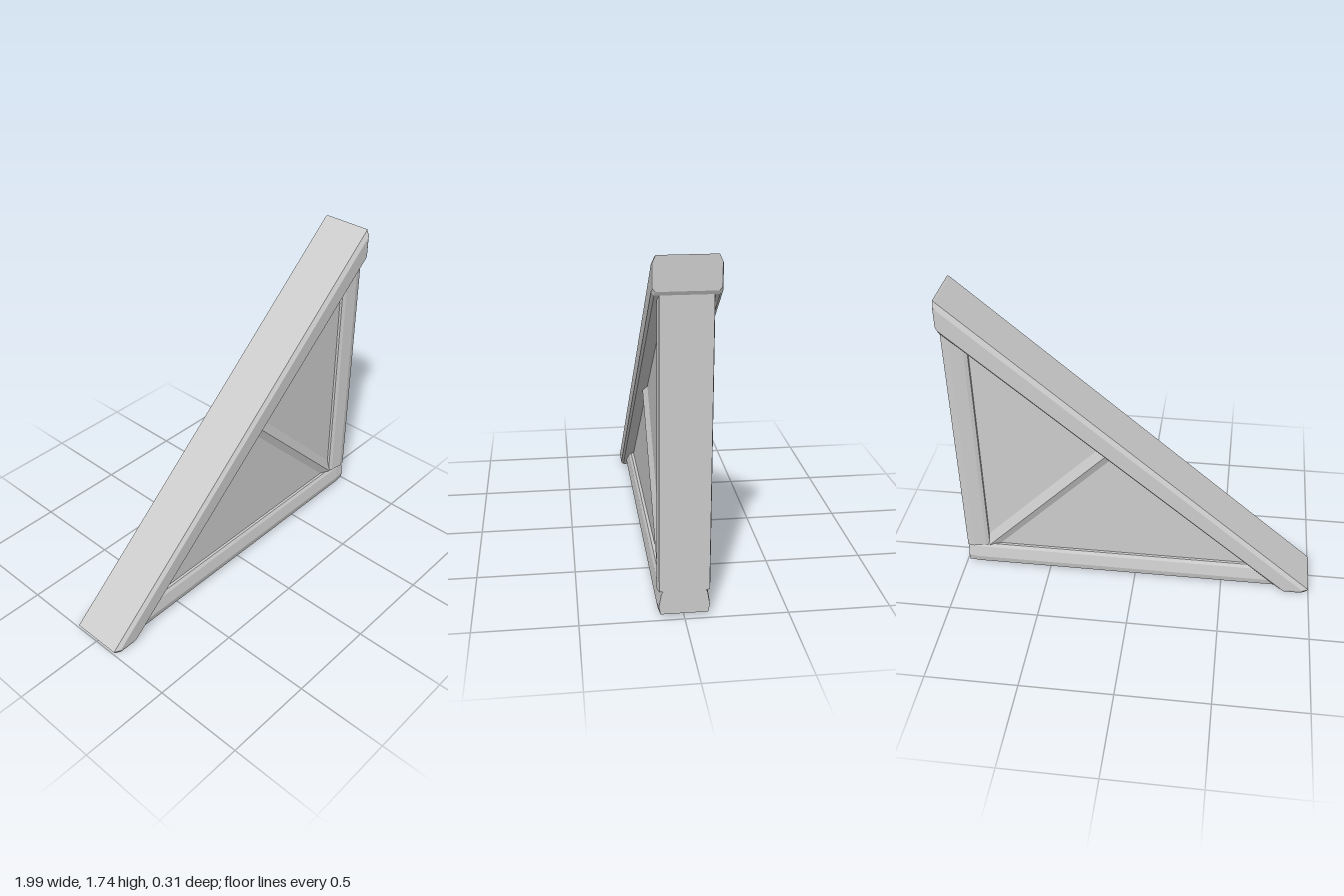
import * as THREE from 'three';

const material = new THREE.MeshStandardMaterial({ color: 0xcccccc, flatShading: true });

// Beam lofted through stations [outer xy, inner xy, depth scale].
// The section lists [position from outer to inner edge, half depth].
function beam(name, section, stations) {
  const rings = stations.map(([outer, inner, scale = 1]) => {
    const side = (s) => section.map(([d, z]) => [
      outer[0] + (inner[0] - outer[0]) * d,
      outer[1] + (inner[1] - outer[1]) * d,
      z * s * scale,
    ]);
    return [...side(1), ...side(-1).reverse()];
  });
  const pos = [];
  const tri = (a, b, c) => pos.push(...a, ...b, ...c);
  const n = rings[0].length;
  for (let r = 0; r < rings.length - 1; r++) {
    const p = rings[r], q = rings[r + 1];
    for (let i = 0; i < n; i++) {
      const j = (i + 1) % n;
      tri(p[i], p[j], q[j]);
      tri(p[i], q[j], q[i]);
    }
  }
  // End caps
  const first = rings[0], last = rings[rings.length - 1];
  for (let i = 1; i < n - 1; i++) {
    tri(first[0], first[i + 1], first[i]);
    tri(last[0], last[i], last[i + 1]);
  }
  const geometry = new THREE.BufferGeometry();
  geometry.setAttribute('position', new THREE.Float32BufferAttribute(pos, 3));
  geometry.computeVertexNormals();
  const mesh = new THREE.Mesh(geometry, material);
  mesh.name = name;
  return mesh;
}

export function createModel() {
  const group = new THREE.Group();
  group.name = 'triangularWallFrame';

  const railSection = [[0, 0.14], [0.2, 0.155], [0.9, 0.155], [1, 0.142]];
  const frameSection = [[0, 0.12], [0.3, 0.128], [0.85, 0.116], [1, 0.105]];
  const braceSection = [[0, 0.085], [0.45, 0.112], [1, 0.085]];

  // Sloping rail with softened ends
  group.add(beam('slopingRail', railSection, [
    [[-0.985, 0], [-0.85, 0], 0.96],
    [[-1, 0.02], [-0.835, 0.013]],
    [[0.98, 1.736], [0.98, 1.567]],
    [[0.99, 1.743], [0.99, 1.585], 0.97],
  ]));

  // Bottom beam, narrowing at the outer corner
  group.add(beam('bottomBeam', frameSection, [
    [[0.98, 0.02], [0.98, 0.145], 0.95],
    [[0.92, 0.02], [0.92, 0.145]],
    [[-0.88, 0.02], [-0.73, 0.145]],
  ]));

  // Upright post standing on the bottom beam
  group.add(beam('uprightPost', frameSection, [
    [[0.98, 1.61], [0.855, 1.5]],
    [[0.98, 0.14], [0.855, 0.14]],
  ]));

  // Ridged diagonal brace showing on both faces
  group.add(beam('diagonalBrace', braceSection, [
    [[0.83, 0.09], [0.91, 0.17]],
    [[0.1, 0.83], [0.18, 0.91]],
  ]));

  // Infill panel, slightly recessed in the frame
  const outline = new THREE.Shape([[-0.78, 0.08], [0.92, 0.08], [0.92, 1.54]]
    .map(([x, y]) => new THREE.Vector2(x, y)));
  const panel = new THREE.Mesh(
    new THREE.ExtrudeGeometry(outline, { depth: 0.18, bevelEnabled: false }), material);
  panel.position.z = -0.09;
  panel.name = 'infillPanel';
  group.add(panel);

  return group;
}
